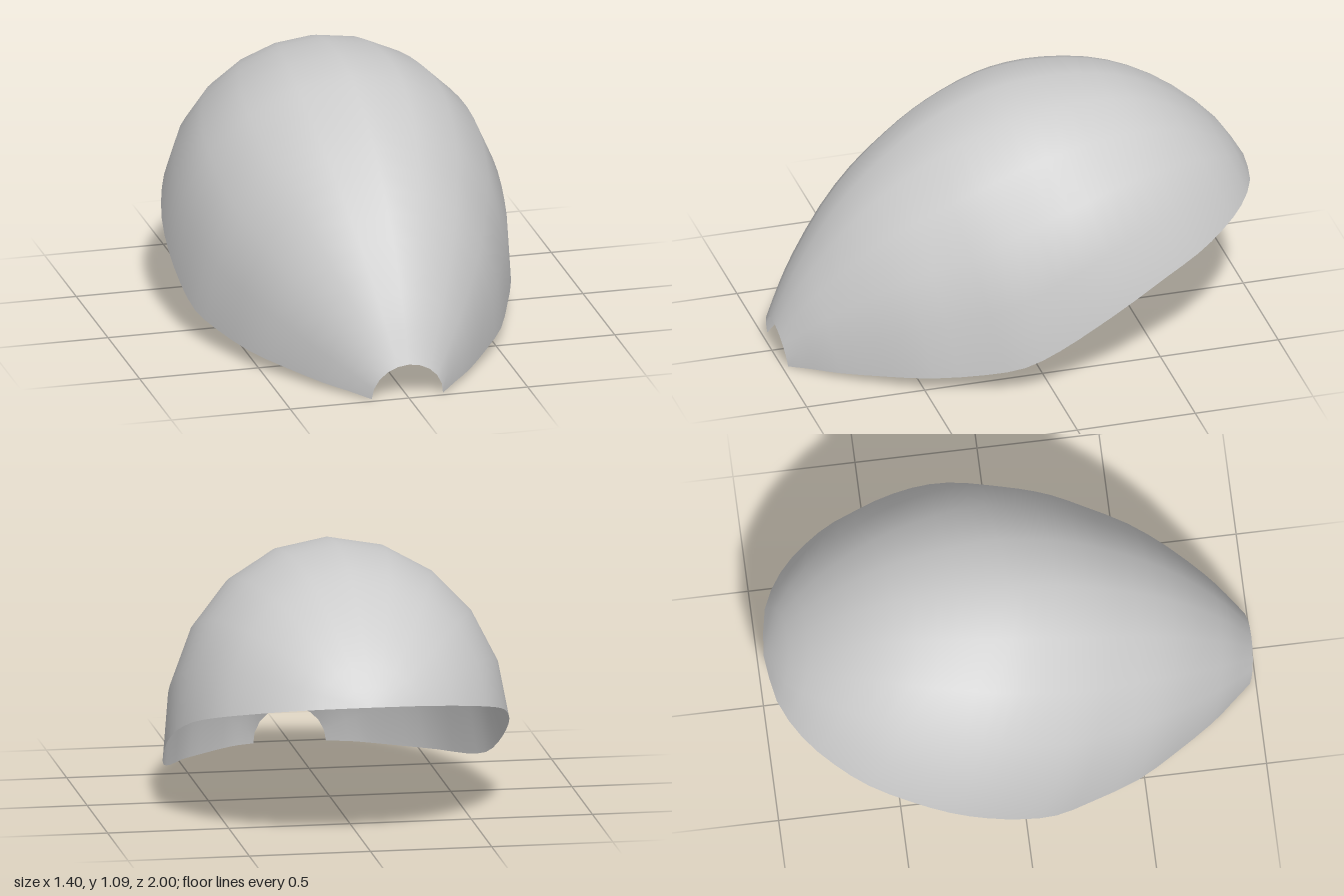
import * as THREE from 'three';
import { mergeVertices } from 'three/addons/utils/BufferGeometryUtils.js';

// Stations from the front notch to the back tip:
// rim half-width, rim z, rim y, crest z, crest y
const STATIONS = [
  [0.15, 0.975, 0.0, 1.0, 0.145],
  [0.23, 0.89, 0.015, 0.94, 0.28],
  [0.31, 0.8, 0.025, 0.87, 0.41],
  [0.43, 0.63, 0.045, 0.745, 0.6],
  [0.53, 0.47, 0.065, 0.6, 0.76],
  [0.61, 0.27, 0.092, 0.45, 0.885],
  [0.665, 0.12, 0.13, 0.33, 0.962],
  [0.69, -0.02, 0.2, 0.21, 1.02],
  [0.7, -0.17, 0.29, 0.07, 1.068],
  [0.688, -0.32, 0.372, -0.06, 1.088],
  [0.645, -0.48, 0.445, -0.2, 1.092],
  [0.575, -0.64, 0.497, -0.38, 1.073],
  [0.48, -0.77, 0.535, -0.55, 1.02],
  [0.36, -0.885, 0.568, -0.73, 0.912],
  [0.2, -0.97, 0.592, -0.9, 0.755],
  [0, -1, 0.6, -1, 0.6],
];
const ROWS = 30;
const SIDES = 10;

const curve = (pick) => new THREE.CatmullRomCurve3(STATIONS.map(pick), false, 'catmullrom', 0.5);

// Shell lofted from leaning half-ellipse sections
function shellGeometry() {
  const rim = curve(([w, z, y]) => new THREE.Vector3(w, y, z));
  const crest = curve(([, , , z, y]) => new THREE.Vector3(0, y, z));
  const positions = [];
  const index = [];
  for (let i = 0; i <= ROWS; i++) {
    const r = rim.getPoint(i / ROWS);
    const c = crest.getPoint(i / ROWS);
    for (let j = 0; j <= SIDES; j++) {
      const a = (j / SIDES - 0.5) * Math.PI;
      const k = Math.cos(a);
      positions.push(r.x * Math.sin(a), r.y + (c.y - r.y) * k, r.z + (c.z - r.z) * k);
      if (i < ROWS && j < SIDES) {
        const p = i * (SIDES + 1) + j;
        const q = p + SIDES + 1;
        index.push(p, p + 1, q);
        if (i < ROWS - 1) index.push(p + 1, q + 1, q); // the last row closes to a tip
      }
    }
  }
  const geometry = new THREE.BufferGeometry();
  geometry.setAttribute('position', new THREE.Float32BufferAttribute(positions, 3));
  geometry.setIndex(index);
  const merged = mergeVertices(geometry, 1e-5);
  merged.computeVertexNormals();
  return merged;
}

export function createModel() {
  const group = new THREE.Group();
  group.name = 'openShell';
  const material = new THREE.MeshStandardMaterial({ color: 0xcccccc, side: THREE.DoubleSide });
  const shell = new THREE.Mesh(shellGeometry(), material);
  shell.name = 'shell';
  group.add(shell);
  return group;
}
